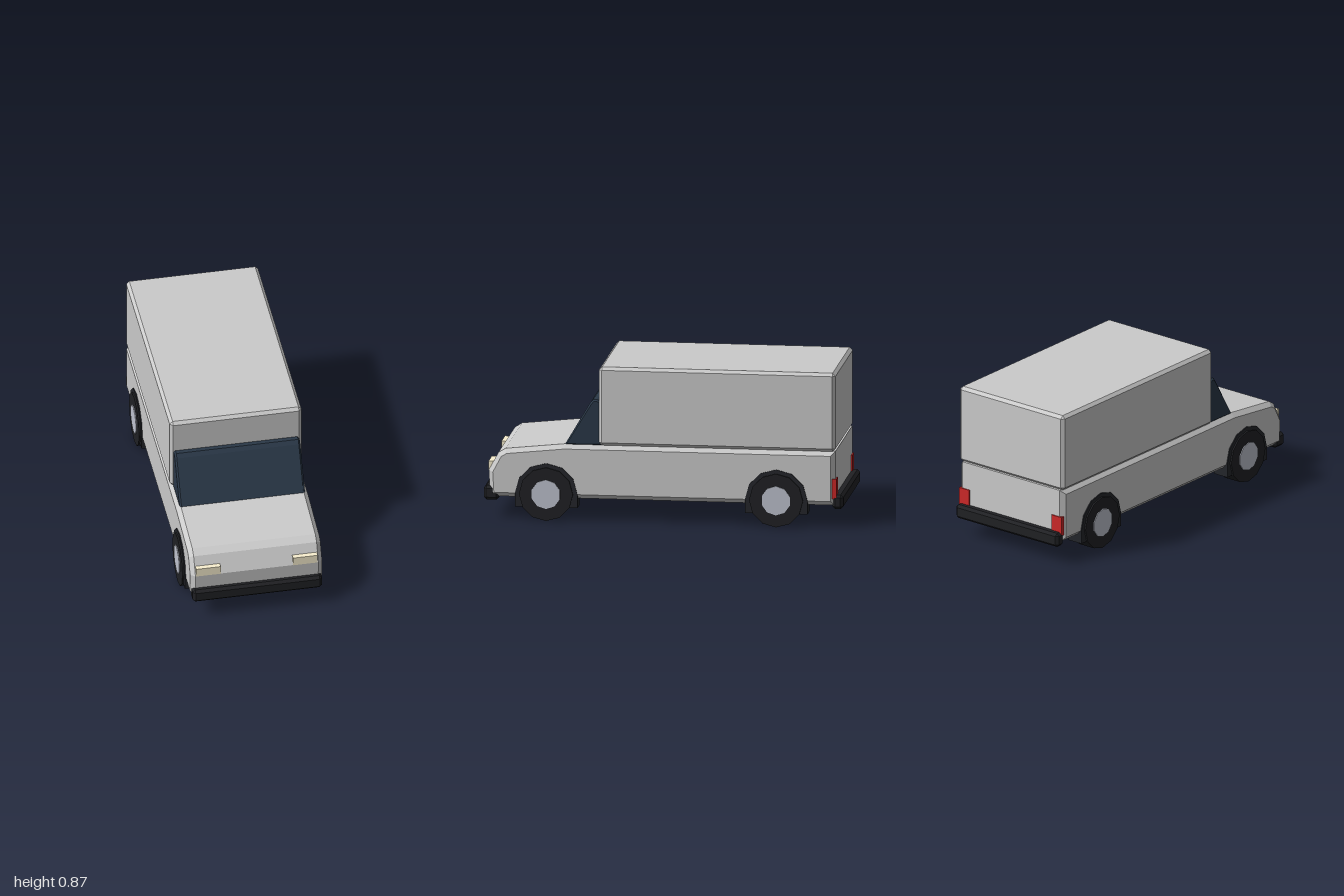
import * as THREE from 'three';
import { ConvexGeometry } from 'three/addons/geometries/ConvexGeometry.js';

const paint = (color) => new THREE.MeshStandardMaterial({ color, flatShading: true });

// Side profile of [z, y] points extruded across x from x0 to x1, with chamfered flanks
function profileGeometry(points, x0, x1, bevel = 0) {
  const shape = new THREE.Shape(points.map(([z, y]) => new THREE.Vector2(z, y)));
  const depth = x1 - x0 - 2 * bevel;
  const geo = new THREE.ExtrudeGeometry(shape, {
    depth, bevelEnabled: bevel > 0, bevelThickness: bevel, bevelSize: bevel,
    bevelOffset: -bevel, bevelSegments: 1,
  });
  geo.translate(0, 0, -depth / 2);
  geo.rotateY(-Math.PI / 2);
  geo.translate((x0 + x1) / 2, 0, 0);
  return geo;
}

// Box with every edge and corner cut by c
function chamferBox(w, h, d, c) {
  const points = [];
  for (const x of [-1, 1]) for (const y of [-1, 1]) for (const z of [-1, 1]) {
    for (let axis = 0; axis < 3; axis++) {
      const cut = [0, 1, 2].map((i) => (i === axis ? 0 : c));
      points.push(new THREE.Vector3(
        x * (w / 2 - cut[0]), y * (h / 2 - cut[1]), z * (d / 2 - cut[2])));
    }
  }
  return new ConvexGeometry(points);
}

export function createModel() {
  const model = new THREE.Group();
  model.name = 'boxVan';
  const grey = paint(0xcccccc);
  const black = paint(0x202124);
  const rubber = paint(0x24262b);
  const glass = paint(0x2a3848);
  const cream = paint(0xfaf0d0);
  const red = paint(0xcc2828);
  const silver = paint(0xc0c4d0);

  const add = (name, geo, mat, x = 0, y = 0, z = 0, parent = model) => {
    const mesh = new THREE.Mesh(geo, mat);
    mesh.name = name;
    mesh.position.set(x, y, z);
    parent.add(mesh);
    return mesh;
  };

  // Lower body with sloping bonnet
  add('body', profileGeometry([
    [-0.957, 0.125], [0.965, 0.125], [0.973, 0.27], [0.92, 0.37],
    [0.88, 0.395], [0.55, 0.43], [-0.957, 0.43],
  ], -0.37, 0.37, 0.025), grey);

  // Cargo box
  add('cargoBox', chamferBox(0.74, 0.442, 1.316, 0.017), grey, 0, 0.65, -0.3);

  // Wedge-shaped cab glass
  add('windshield', profileGeometry([
    [0.34, 0.425], [0.55, 0.425], [0.41, 0.663], [0.392, 0.684],
    [0.372, 0.684], [0.34, 0.67],
  ], -0.352, 0.352, 0.01), glass);

  // Bumpers
  add('frontBumper', chamferBox(0.726, 0.08, 0.085, 0.015), black, 0, 0.145, 0.9575);
  add('rearBumper', chamferBox(0.726, 0.08, 0.06, 0.015), black, 0, 0.145, -0.97);

  for (const side of [-1, 1]) {
    const label = side > 0 ? 'Left' : 'Right';

    // Lights
    add('headlight' + label, new THREE.BoxGeometry(0.138, 0.05, 0.04), cream, side * 0.272, 0.295, 0.955);
    add('taillight' + label, new THREE.BoxGeometry(0.07, 0.11, 0.03), red, side * 0.327, 0.22, -0.949);

    for (const [end, z] of [['front', 0.65], ['rear', -0.63]]) {
      const corner = new THREE.Group();
      corner.name = end + 'Wheel' + label;
      corner.position.set(0, 0.15, z);
      model.add(corner);

      // Wheel arch with short straight legs
      const arch = [[-0.174, -0.075], [0.174, -0.075]];
      for (let i = 0; i <= 6; i++) {
        const a = (i * Math.PI) / 6;
        arch.push([Math.cos(a) * 0.174, Math.sin(a) * 0.172]);
      }
      const [x0, x1] = side > 0 ? [0.283, 0.376] : [-0.376, -0.283];
      add('wheelArch', profileGeometry(arch, x0, x1), rubber, 0, 0, 0, corner);

      // Tyre and hubcap
      const disc = (r, width, sides) =>
        new THREE.CylinderGeometry(r, r, width, sides, 1, false, Math.PI / 2).rotateZ(Math.PI / 2);
      add('tyre', disc(0.15, 0.104, 12), black, side * 0.333, 0, 0, corner);
      add('hubcap', disc(0.082, 0.03, 10), silver, side * 0.375, 0, 0, corner);
    }
  }
  return model;
}
